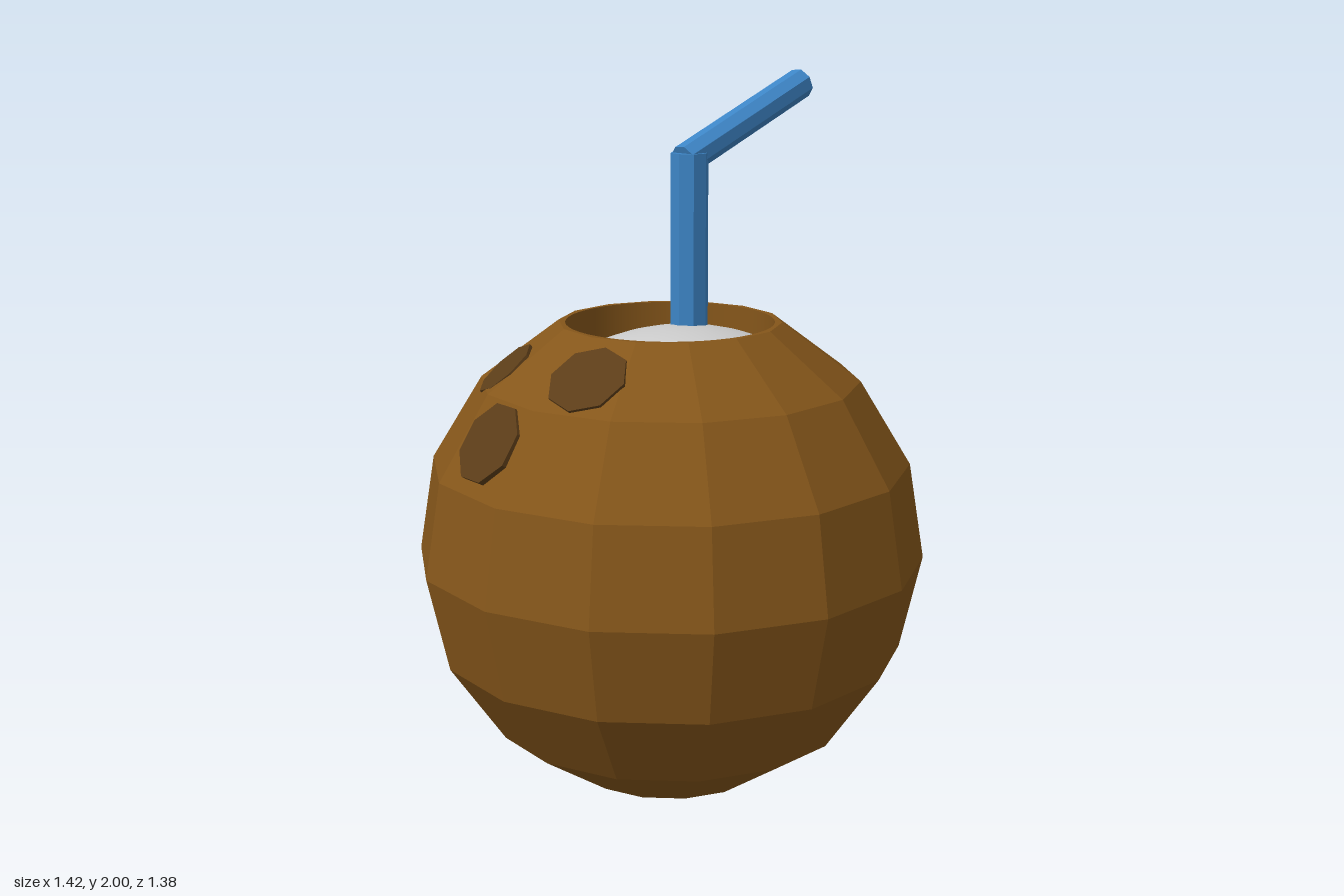
import * as THREE from 'three';

const R = 0.71, CY = 0.712, SIDES = 14, HOLE = 0.288;
const UP = new THREE.Vector3(0, 1, 0);

function flat(color, side = THREE.FrontSide) {
  return new THREE.MeshStandardMaterial({ color, flatShading: true, side });
}

function add(parent, name, geometry, material) {
  const mesh = new THREE.Mesh(geometry, material);
  mesh.name = name;
  parent.add(mesh);
  return mesh;
}

// Eight-sided rod between two points
function rod(parent, name, from, to, radius, material, turn = 0) {
  const dir = to.clone().sub(from);
  const geometry = new THREE.CylinderGeometry(radius, radius, dir.length(), 8);
  geometry.rotateY(turn);
  const mesh = add(parent, name, geometry, material);
  mesh.position.copy(from).add(to).multiplyScalar(0.5);
  mesh.quaternion.setFromUnitVectors(UP, dir.normalize());
  return mesh;
}

export function createModel() {
  const group = new THREE.Group();
  group.name = 'coconutDrink';
  const brown = flat(0x85561a);
  const darkBrown = flat(0x5c3d18);
  const blue = flat(0x3d85c6);

  // Faceted shell, open at the top ring
  const cut = Math.PI / 7;
  const shell = add(group, 'shell',
    new THREE.SphereGeometry(R, SIDES, 7, 0, Math.PI * 2, cut, Math.PI - cut), brown);
  shell.position.y = CY;

  // Thin flat rim: polygon outside, round hole inside
  const topY = CY + R * Math.cos(cut), rimR = R * Math.sin(cut);
  const outline = [];
  for (let i = 0; i < SIDES; i++) {
    const a = (i / SIDES) * Math.PI * 2;
    outline.push(new THREE.Vector2(rimR * Math.cos(a), rimR * Math.sin(a)));
  }
  const rimShape = new THREE.Shape(outline);
  rimShape.holes.push(new THREE.Path().absarc(0, 0, HOLE, 0, Math.PI * 2, true));
  const rim = add(group, 'rim', new THREE.ShapeGeometry(rimShape, 24), brown);
  rim.rotation.x = -Math.PI / 2;
  rim.position.y = topY;

  // Round wall of the opening
  const wall = add(group, 'openingWall',
    new THREE.CylinderGeometry(HOLE, HOLE, 0.16, 48, 1, true),
    new THREE.MeshStandardMaterial({ color: 0x85561a, side: THREE.DoubleSide }));
  wall.position.y = topY - 0.08;

  // Smooth pale flesh inside
  const flesh = add(group, 'flesh', new THREE.SphereGeometry(0.62, 48, 32),
    new THREE.MeshStandardMaterial({ color: 0xcccccc }));
  flesh.position.set(0.035, CY, 0.025);

  // Three dark eyes set into the shell: direction and radius
  const eyes = [
    [-0.365, 0.53, -0.28, 0.093],
    [-0.57, 0.38, -0.125, 0.117],
    [-0.41, 0.555, 0.085, 0.112],
  ];
  eyes.forEach(([x, y, z, r], i) => {
    const dir = new THREE.Vector3(x, y, z).normalize();
    const at = (d) => dir.clone().multiplyScalar(d).add(new THREE.Vector3(0, CY, 0));
    rod(group, 'eye' + (i + 1), at(0.53), at(0.697), r, darkBrown, 0.2);
  });

  // Bent straw
  const straw = new THREE.Group();
  straw.name = 'straw';
  group.add(straw);
  const v = (x, y) => new THREE.Vector3(x, y, -0.02);
  rod(straw, 'strawStem', v(0.101, 1.15), v(0.101, 1.803), 0.053, blue, 0.17);
  rod(straw, 'strawTip', v(0.078, 1.782), v(0.578, 1.963), 0.044, blue, 0.3);

  return group;
}
